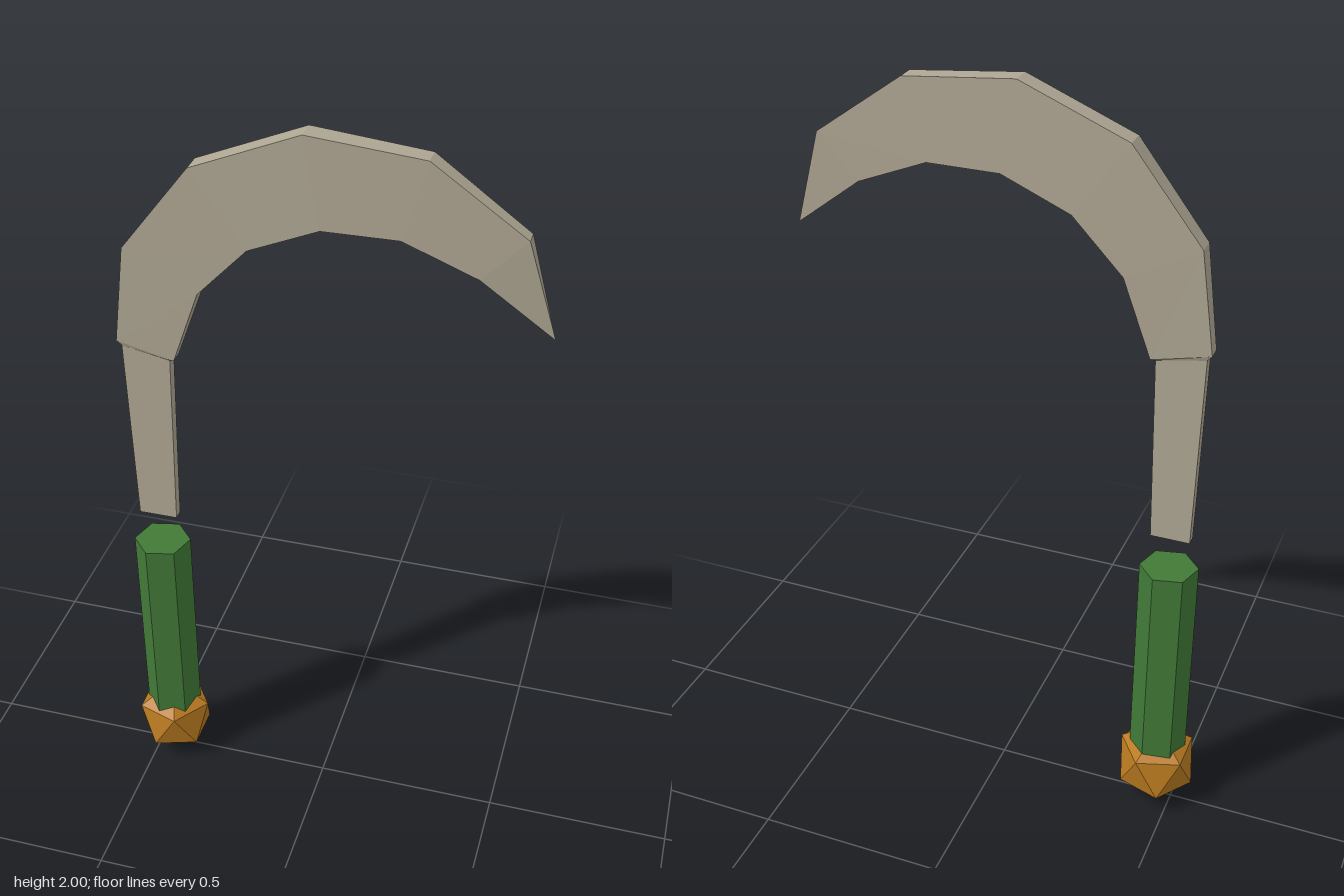
import * as THREE from 'three';
import { ConvexGeometry } from 'three/addons/geometries/ConvexGeometry.js';

const AXIS_X = -0.4525; // handle centre line

// Flat-sided bar through sections [outerX, outerY, innerX, innerY, halfThickness], closed at a final tip
function loftBar(sections, tip) {
  const rings = sections.map(([ox, oy, ix, iy, h]) => [
    [ox, oy, h], [ix, iy, h], [ix, iy, -h], [ox, oy, -h],
  ]);
  const pos = [];
  const tri = (a, b, c) => pos.push(...a, ...b, ...c);
  const quad = (a, b, c, d) => { tri(a, b, c); tri(a, c, d); };

  const first = rings[0], last = rings[rings.length - 1];
  quad(first[3], first[2], first[1], first[0]);
  for (let s = 0; s < rings.length - 1; s++) {
    for (let i = 0; i < 4; i++) {
      const j = (i + 1) % 4;
      quad(rings[s][i], rings[s][j], rings[s + 1][j], rings[s + 1][i]);
    }
  }
  for (let i = 0; i < 4; i++) tri(last[i], last[(i + 1) % 4], tip);

  const geo = new THREE.BufferGeometry();
  geo.setAttribute('position', new THREE.Float32BufferAttribute(pos, 3));
  geo.computeVertexNormals();
  return geo;
}

// Icosahedron-like knob: two staggered five-point rings between two poles
function knobGeometry() {
  const points = [new THREE.Vector3(0, 0, 0), new THREE.Vector3(0, 0.238, 0)];
  for (let i = 0; i < 5; i++) {
    const a = (i / 5) * Math.PI * 2;
    const x = 0.102 * Math.cos(a), z = 0.102 * Math.sin(a);
    points.push(new THREE.Vector3(x, 0.173, z), new THREE.Vector3(-x, 0.066, z));
  }
  return new ConvexGeometry(points);
}

export function createModel() {
  const model = new THREE.Group();
  model.name = 'sickle';

  const material = (name, color) => {
    const m = new THREE.MeshStandardMaterial({ color });
    m.name = name;
    m.flatShading = true;
    return m;
  };
  const steel = material('steel', 0xaea693);
  const green = material('greenGrip', 0x417a37);
  const bronze = material('bronze', 0xb97a20);

  const add = (name, geometry, mat) => {
    const mesh = new THREE.Mesh(geometry, mat);
    mesh.name = name;
    model.add(mesh);
    return mesh;
  };

  // Shank stepping out into the curved, tapering blade
  add('blade', loftBar([
    [-0.505, 0.862, -0.402, 0.862, 0.014],
    [-0.515, 1.382, -0.39, 1.358, 0.015],
    [-0.527, 1.396, -0.378, 1.36, 0.019],
    [-0.49, 1.66, -0.305, 1.562, 0.025],
    [-0.312, 1.888, -0.176, 1.698, 0.028],
    [-0.04, 2.0, 0, 1.773, 0.028],
    [0.245, 1.973, 0.187, 1.773, 0.025],
    [0.475, 1.81, 0.37, 1.698, 0.019],
  ], [0.55, 1.56, 0]), steel);

  // Six-sided grip, turned slightly about its axis
  const grip = add('grip', new THREE.CylinderGeometry(
    0.076, 0.076, 0.65, 6, 1, false, THREE.MathUtils.degToRad(43)), green);
  grip.position.set(AXIS_X, 0.445, 0);

  // Faceted pommel
  add('pommel', knobGeometry(), bronze).position.x = AXIS_X;

  return model;
}
